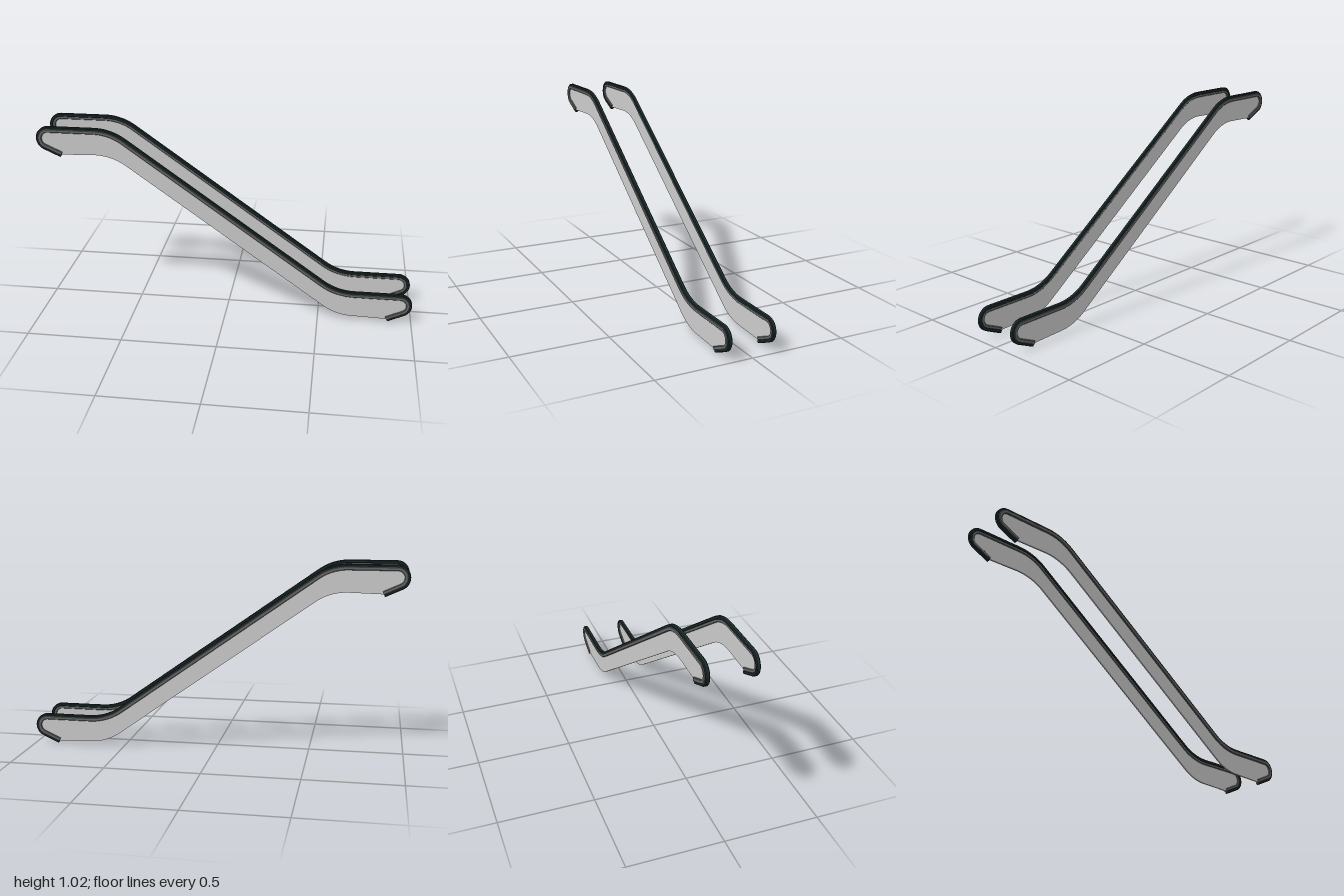
import * as THREE from 'three';
import { toCreasedNormals } from 'three/addons/utils/BufferGeometryUtils.js';

const TOP = 1.018, LOW = 0.163;            // heights of the two landings
const BULB_R = 0.065, BULB_X = 0.935;      // rounded ends
const END = 0.095;                         // straight return under each end
const SLOPE = Math.atan(0.712), BEND_T = 0.09;
const BEND_R = BEND_T / Math.tan(SLOPE / 2);
const BEND_X = 0.6;                        // where landing and incline lines meet
const PANEL_H = 0.145;
const RETURN = THREE.MathUtils.degToRad(65.5);

// Handrail line as points p with inward normals n, from upper end to lower end
function railLine() {
  const ends = [], bends = [];
  const arc = (list, cx, cy, r, a0, a1, steps, sign) => {
    for (let i = 0; i <= steps; i++) {
      const a = a0 + (a1 - a0) * i / steps;
      const dir = new THREE.Vector2(Math.cos(a), Math.sin(a));
      list.push({ p: new THREE.Vector2(cx, cy).addScaledVector(dir, r), n: dir.multiplyScalar(sign) });
    }
  };
  const q = Math.PI / 2;
  // rounded end, built on the right and mirrored for the left
  arc(ends, BULB_X, 0, BULB_R, q, -RETURN, 20, -1);
  const last = ends[ends.length - 1];
  ends.push({ p: last.p.clone().add(new THREE.Vector2(last.n.y, -last.n.x).multiplyScalar(-END)), n: last.n.clone() });
  if (ends[ends.length - 1].p.x > last.p.x) {
    ends[ends.length - 1].p.copy(last.p).add(new THREE.Vector2(last.n.y, -last.n.x).multiplyScalar(END));
  }
  const place = (e, sx, top) => ({
    p: new THREE.Vector2(e.p.x * sx, e.p.y + top - BULB_R),
    n: new THREE.Vector2(e.n.x * sx, e.n.y),
  });
  // convex upper bend and concave lower bend
  arc(bends, -BEND_X - BEND_T, TOP - BEND_R, BEND_R, q, q - SLOPE, 10, -1);
  arc(bends, BEND_X + BEND_T, LOW + BEND_R, BEND_R, 3 * q - SLOPE, 3 * q, 10, 1);
  const upper = ends.map(e => place(e, -1, TOP)).reverse();
  const lower = ends.map(e => place(e, 1, LOW));
  return { all: [...upper, ...bends, ...lower], bends };
}

// Chamfered rectangle section: d is the inset from the rail line, z is across
function section(d0, d1, z0, z1, c) {
  return [[d0, z1 - c], [d0, z0 + c], [d0 + c, z0], [d1 - c, z0],
    [d1, z0 + c], [d1, z1 - c], [d1 - c, z1], [d0 + c, z1]];
}

// Sweeps a closed section along the rail line and caps both ends
function sweep(line, sec) {
  const pos = [], idx = [], m = sec.length;
  for (const { p, n } of line) for (const [d, z] of sec) pos.push(p.x + n.x * d, p.y + n.y * d, z);
  for (let i = 0; i < line.length - 1; i++) {
    for (let j = 0; j < m; j++) {
      const k = (j + 1) % m, a = i * m + j, b = a + m, c = (i + 1) * m + k, e = i * m + k;
      idx.push(a, b, c, a, c, e);
    }
  }
  const o = (line.length - 1) * m;
  for (let j = 1; j < m - 1; j++) idx.push(0, j, j + 1, o, o + j + 1, o + j);
  const g = new THREE.BufferGeometry();
  g.setAttribute('position', new THREE.Float32BufferAttribute(pos, 3));
  g.setIndex(idx);
  return toCreasedNormals(g, 0.6);
}

export function createModel() {
  const model = new THREE.Group();
  model.name = 'escalatorBalustrades';
  const rubber = new THREE.MeshStandardMaterial({ color: 0x1c2a2a });
  const metal = new THREE.MeshStandardMaterial({ color: 0x666666 });
  const glass = new THREE.MeshStandardMaterial({ color: 0xcccccc });
  const { all, bends } = railLine();

  // panel outline: inset rail line on top, landings and incline dropped below
  const outline = all.map(({ p, n }) => p.clone().addScaledVector(n, 0.015));
  const bottom = bends.map(({ p }) => new THREE.Vector2(p.x, p.y - PANEL_H)).reverse();
  const thickness = 0.008;
  const panelGeo = new THREE.ExtrudeGeometry(new THREE.Shape([...outline, ...bottom]),
    { depth: thickness, bevelEnabled: false });

  for (const side of [1, -1]) {
    const group = new THREE.Group();
    group.name = side > 0 ? 'frontBalustrade' : 'backBalustrade';
    const add = (name, geo, mat) => {
      const mesh = new THREE.Mesh(geo, mat);
      mesh.name = name;
      group.add(mesh);
      return mesh;
    };
    const across = (inner, outer) => (side > 0 ? [inner, outer] : [-outer, -inner]);
    add('handrail', sweep(all, section(0, 0.018, ...across(0.107, 0.128), 0.004)), rubber);
    add('railTrim', sweep(all, section(0.012, 0.031, ...across(0.110, 0.131), 0.003)), metal);
    add('sidePanel', panelGeo, glass).position.z = side * 0.119 - thickness / 2;
    model.add(group);
  }
  return model;
}
